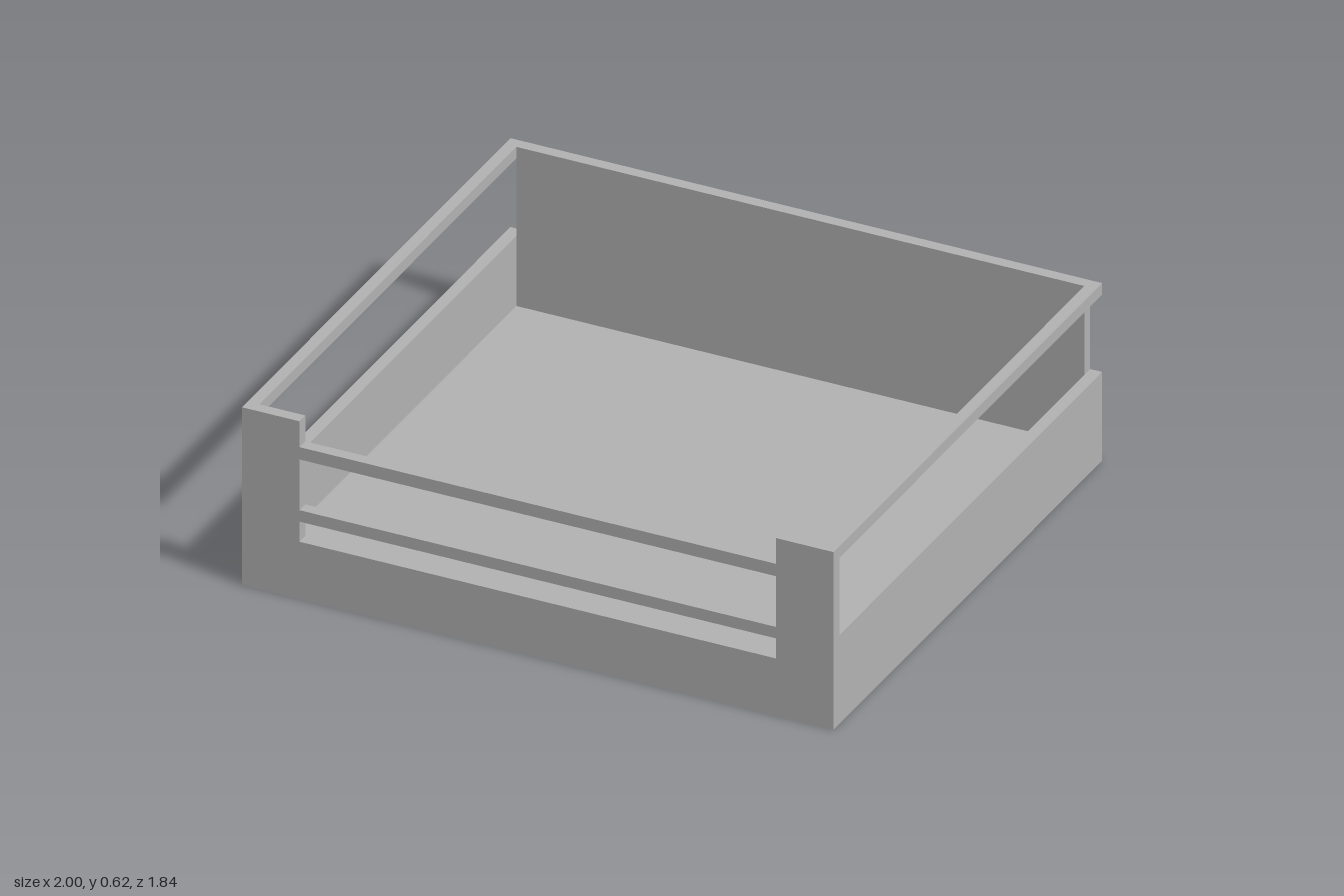
import * as THREE from 'three';

const W = 1, D = 0.918, H = 0.62;      // half width, half depth, height
const T = 0.04;                        // wall thickness
const FLOOR = 0.065, LOW = 0.31;       // floor top, low side wall top

export function createModel() {
  const group = new THREE.Group();
  group.name = 'tray';
  const grey = new THREE.MeshStandardMaterial({ color: 0xb2b2b2 });
  grey.name = 'grey';

  // box given by its lower and upper corners
  const box = (name, [x0, y0, z0], [x1, y1, z1]) => {
    const mesh = new THREE.Mesh(new THREE.BoxGeometry(x1 - x0, y1 - y0, z1 - z0), grey);
    mesh.position.set((x0 + x1) / 2, (y0 + y1) / 2, (z0 + z1) / 2);
    mesh.name = name;
    group.add(mesh);
  };

  const ix = W - T, iz = D - T;
  box('floor', [-ix, 0, -iz], [ix, FLOOR, iz]);
  box('backWall', [-ix, 0, -D], [ix, H, -iz]);

  // low side walls and top rails, open in between and at the back corners
  for (const [side, a, b] of [['left', ix, W], ['right', -W, -ix]]) {
    box(side + 'Wall', [a, 0, -D], [b, LOW, iz]);
    box(side + 'Rail', [a, H - T, -D], [b, H, iz]);
  }

  // front panel: wide notch at the top, two slots leaving two bars
  const o = 0.805;
  const panel = new THREE.Shape([
    [-W, 0], [W, 0], [W, H], [o, H], [o, 0.53], [-o, 0.53], [-o, H], [-W, H],
  ].map(([x, y]) => new THREE.Vector2(x, y)));
  for (const [y0, y1] of [[0.2, 0.27], [LOW, 0.487]]) {
    panel.holes.push(new THREE.Path(
      [[-o, y0], [-o, y1], [o, y1], [o, y0]].map(([x, y]) => new THREE.Vector2(x, y))));
  }
  const front = new THREE.Mesh(
    new THREE.ExtrudeGeometry(panel, { depth: T, bevelEnabled: false }), grey);
  front.position.z = iz;
  front.name = 'frontPanel';
  group.add(front);

  return group;
}
